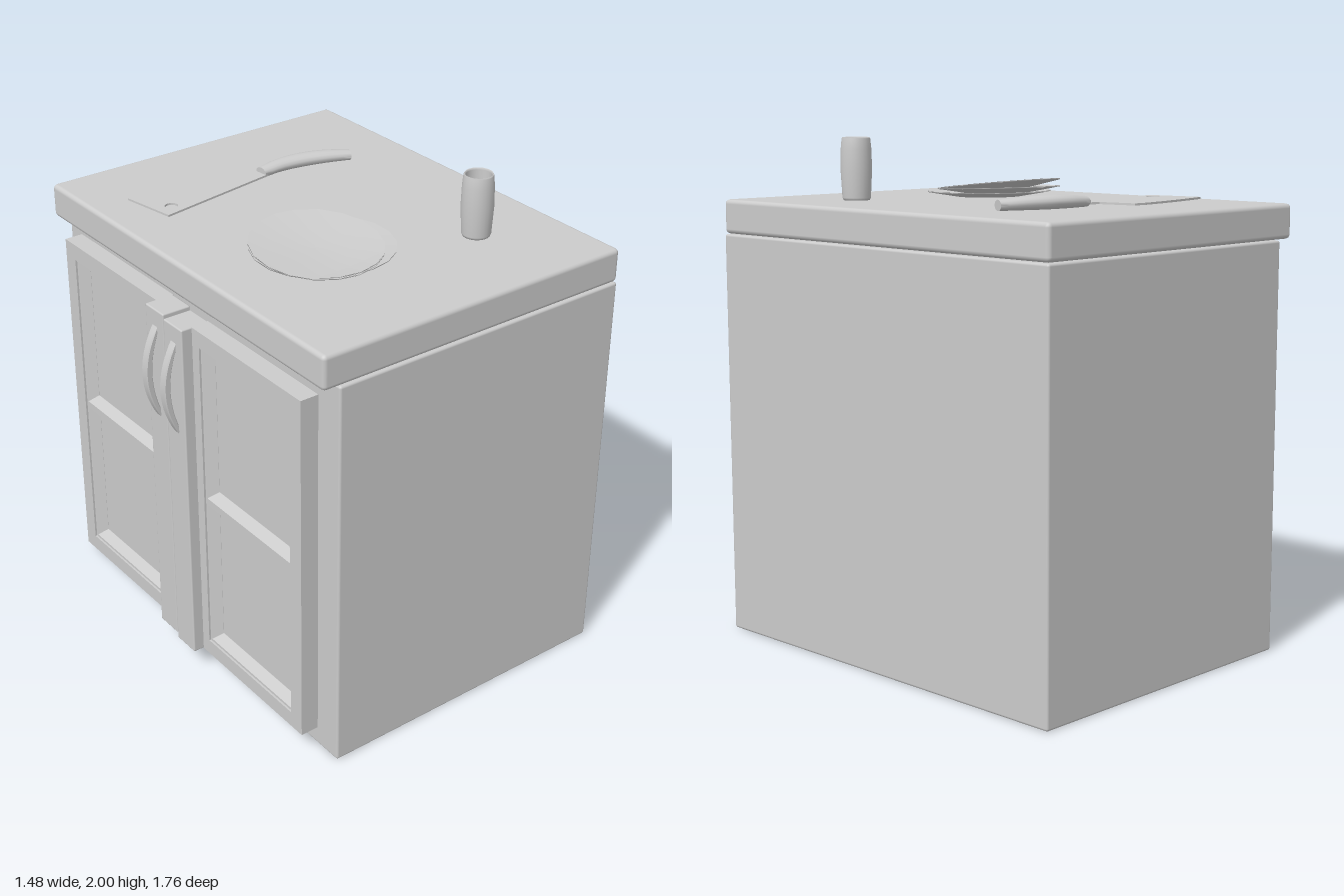
import * as THREE from 'three';
import { RoundedBoxGeometry } from 'three/addons/geometries/RoundedBoxGeometry.js';
import { toCreasedNormals } from 'three/addons/utils/BufferGeometryUtils.js';

const grey = new THREE.MeshStandardMaterial({ color: 0xcccccc });
const greyDouble = new THREE.MeshStandardMaterial({ color: 0xcccccc, side: THREE.DoubleSide });

function add(parent, name, geometry, x = 0, y = 0, z = 0, material = grey) {
  const mesh = new THREE.Mesh(geometry, material);
  mesh.name = name;
  mesh.position.set(x, y, z);
  parent.add(mesh);
  return mesh;
}

// Box with softened edges, given by its limits
function slab(parent, name, [x0, x1], [y0, y1], [z0, z1], r) {
  const g = new RoundedBoxGeometry(x1 - x0, y1 - y0, z1 - z0, 2, r);
  return add(parent, name, g, (x0 + x1) / 2, (y0 + y1) / 2, (z0 + z1) / 2);
}

function rect(x0, x1, y0, y1, Type = THREE.Path) {
  return new Type([[x0, y0], [x1, y0], [x1, y1], [x0, y1]].map(p => new THREE.Vector2(...p)));
}

// Door in its own frame: x runs along the cabinet, z points outwards.
// s = -1 or 1 picks the side of the centre line.
function makeDoor(s) {
  const door = new THREE.Group();
  const span = (a, b) => (s > 0 ? [a, b] : [-b, -a]);
  const [o0, o1] = span(0.125, 0.787);
  const [h0, h1] = span(0.175, 0.72);

  // Flat outer frame
  const frame = rect(o0, o1, 0.1, 1.55, THREE.Shape);
  frame.holes.push(rect(h0, h1, 0.165, 1.485));
  add(door, 'doorFrame', new THREE.ExtrudeGeometry(frame, { depth: 0.075, bevelEnabled: false }));

  // Sloping moulding round two recessed panels
  const moulding = rect(h0 - 0.01, h1 + 0.01, 0.155, 1.495, THREE.Shape);
  for (const [b, t] of [[0.175, 0.81], [0.84, 1.475]])
    moulding.holes.push(rect(h0 + 0.01, h1 - 0.01, b, t));
  const bevel = { depth: 0.02, bevelThickness: 0.035, bevelSize: 0.03, bevelSegments: 1 };
  add(door, 'panelMoulding', new THREE.ExtrudeGeometry(moulding, bevel), 0, 0, 0.012);
  add(door, 'doorPanel', new THREE.BoxGeometry(h1 - h0, 1.34, 0.03), (h0 + h1) / 2, 0.825, 0.016);

  // Thick closing stile
  slab(door, 'closingStile', span(0.0125, 0.132), [0.1, 1.55], [0, 0.12], 0.006);

  // Bowed handle, cut from a crescent profile
  const bow = new THREE.Shape();
  bow.moveTo(-0.005, 1.09);
  bow.quadraticCurveTo(0.115, 1.29, -0.005, 1.49);
  bow.lineTo(-0.005, 1.455);
  bow.quadraticCurveTo(0.06, 1.29, -0.005, 1.125);
  const g = new THREE.ExtrudeGeometry(bow, {
    depth: 0.027, bevelThickness: 0.004, bevelSize: 0.004, bevelOffset: -0.004, bevelSegments: 1, curveSegments: 14,
  });
  g.translate(0, 0, -0.0135).rotateY(-Math.PI / 2);
  add(door, 'handle', toCreasedNormals(g, 0.6), s * 0.073, 0, 0.12);
  return door;
}

function makePlate() {
  const profile = [[0, 0], [0.13, 0], [0.25, 0.02], [0.25, 0.024], [0.13, 0.008], [0, 0.006]];
  return new THREE.LatheGeometry(profile.map(p => new THREE.Vector2(...p)), 18);
}

function makeCleaver() {
  const cleaver = new THREE.Group();

  // Blade outline, drawn with y pointing to the back
  const blade = new THREE.Shape();
  blade.moveTo(-0.44, 0.325);
  blade.lineTo(0.09, 0.415);
  blade.lineTo(0.09, 0.46);
  blade.lineTo(0.028, 0.475);
  blade.lineTo(0.0, 0.625);
  blade.lineTo(-0.06, 0.627);
  blade.quadraticCurveTo(-0.27, 0.605, -0.48, 0.55);
  const hole = new THREE.Path();
  hole.absarc(-0.385, 0.39, 0.026, 0, Math.PI * 2, true);
  blade.holes.push(hole);
  const g = new THREE.ExtrudeGeometry(blade, { depth: 0.008, bevelEnabled: false });
  g.rotateX(-Math.PI / 2);
  add(cleaver, 'cleaverBlade', g, 0, 1.764, 0);

  // Handle: a flattened cylinder bent along a curve
  const path = new THREE.CatmullRomCurve3([
    [0.07, 1.775, -0.44], [0.17, 1.779, -0.449], [0.27, 1.78, -0.438], [0.37, 1.779, -0.41], [0.462, 1.775, -0.375],
  ].map(p => new THREE.Vector3(...p)));
  const h = new THREE.CylinderGeometry(1, 1, 1, 14, 12);
  const pos = h.attributes.position;
  for (let i = 0; i < pos.count; i++) {
    const t = THREE.MathUtils.clamp(0.5 - pos.getY(i), 0, 1);
    const c = path.getPointAt(t), d = path.getTangentAt(t);
    const swell = 0.85 + 0.25 * Math.sin(Math.PI * t);
    const across = pos.getX(i) * 0.034 * swell, up = pos.getZ(i) * 0.024 * swell;
    pos.setXYZ(i, c.x + d.z * across, c.y + up, c.z - d.x * across);
  }
  // Keep the faces pointing outwards after the bend
  const a = h.index.array, p = [0, 1, 2].map(k => new THREE.Vector3().fromBufferAttribute(pos, a[k]));
  const n = p[1].clone().sub(p[0]).cross(p[2].clone().sub(p[0]));
  const out = p[0].clone().sub(path.getPointAt(0));
  if (n.dot(out) < 0) for (let i = 0; i < a.length; i += 3) [a[i], a[i + 1]] = [a[i + 1], a[i]];
  add(cleaver, 'cleaverHandle', toCreasedNormals(h, 0.8));
  return cleaver;
}

export function createModel() {
  const model = new THREE.Group();
  model.name = 'kitchenCabinet';

  // Carcass and worktop
  slab(model, 'cabinetBody', [-0.555, 0.735], [0, 1.618], [-0.88, 0.88], 0.01);
  slab(model, 'worktop', [-0.625, 0.735], [1.62, 1.755], [-0.88, 0.88], 0.018);

  // Pair of doors, one standing slightly further out
  for (const [s, name, x] of [[-1, 'backDoor', -0.555], [1, 'frontDoor', -0.57]]) {
    const door = makeDoor(s);
    door.name = name;
    door.rotation.y = -Math.PI / 2;
    door.position.set(x, 0, -0.0075);
    model.add(door);
  }

  // Stack of slipped plates: x, y, z, tilt about x, tilt about z
  const plates = [[-0.125, 1.757, 0.255, 0.01, 0], [-0.18, 1.769, 0.255, 0.04, 0.01], [-0.187, 1.782, 0.26, 0.11, 0]];
  for (const [x, y, z, rx, rz] of plates)
    add(model, 'plate', makePlate(), x, y, z, greyDouble).rotation.set(rx, 0, rz);

  // Tumbler
  const cup = [[0, 0], [0.052, 0], [0.056, 0.01], [0.062, 0.12], [0.06, 0.2], [0.056, 0.24], [0.053, 0.245],
    [0.048, 0.238], [0.052, 0.12], [0.046, 0.015], [0, 0.015]];
  const cupGeometry = new THREE.LatheGeometry(cup.map(p => new THREE.Vector2(...p)), 24);
  add(model, 'tumbler', cupGeometry, 0.395, 1.755, 0.472, greyDouble);

  const cleaver = makeCleaver();
  cleaver.name = 'cleaver';
  model.add(cleaver);
  return model;
}
